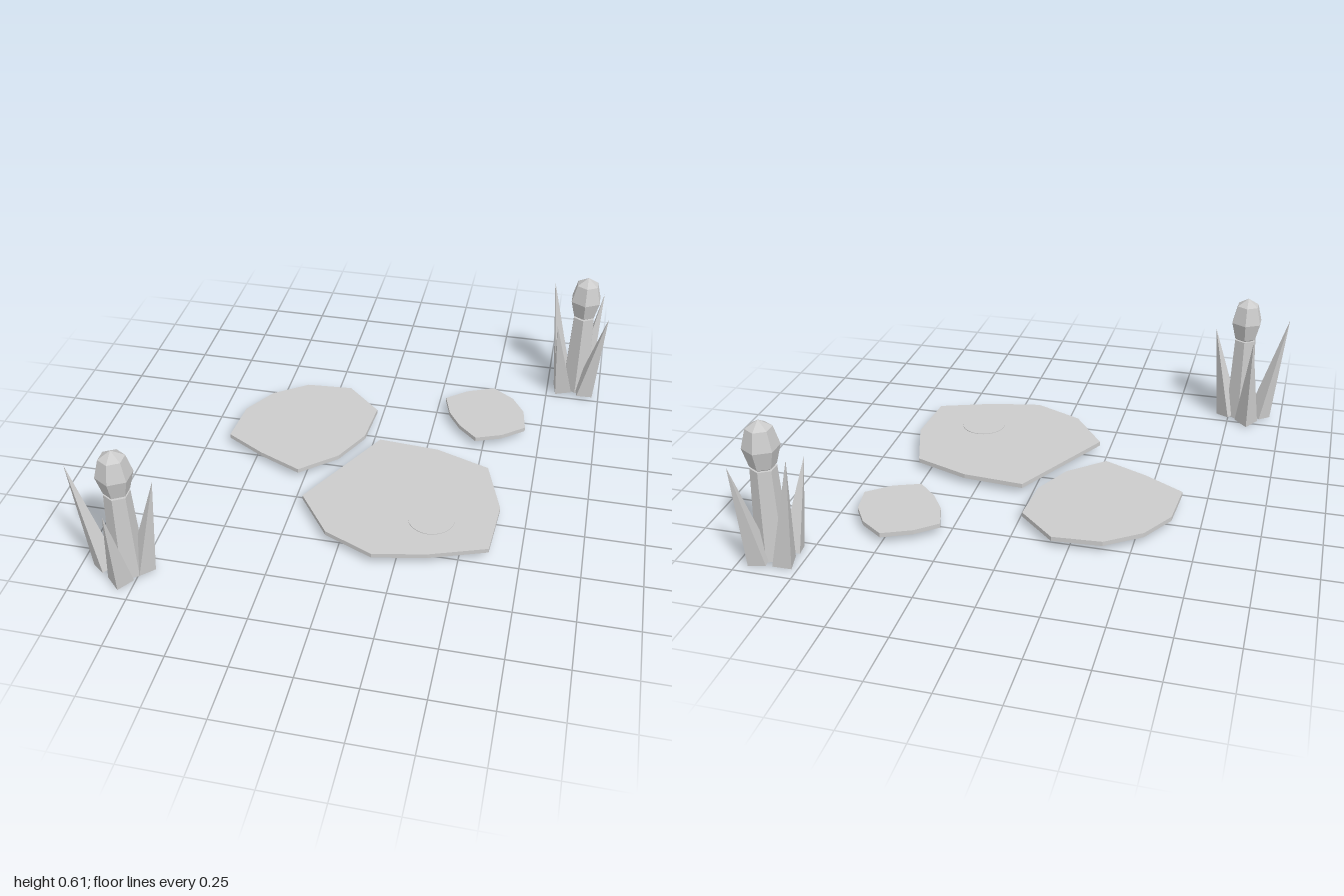
import * as THREE from 'three';

const stone = new THREE.MeshStandardMaterial({ color: 0xcccccc, flatShading: true });
stone.name = 'light grey';

function mesh(name, geometry, y = 0) {
  const m = new THREE.Mesh(geometry, stone);
  m.name = name;
  m.position.y = y;
  return m;
}

// Flat slab from an outline of [x, z] points
function slab(name, outline) {
  const shape = new THREE.Shape(outline.map(([x, z]) => new THREE.Vector2(x, -z)));
  const g = new THREE.ExtrudeGeometry(shape, { depth: 0.02, bevelEnabled: false });
  g.rotateX(-Math.PI / 2);
  return mesh(name, g, 0.03);
}

// Four-sided spike leaning from its base centre to its tip
function blade([bx, bz, tx, ty, tz]) {
  const base = new THREE.Vector3(bx, 0.01, bz);
  const axis = new THREE.Vector3(tx, ty, tz).sub(base);
  const h = axis.length();
  const g = new THREE.ConeGeometry(0.054, h, 4);
  g.translate(0, h / 2, 0).rotateY(Math.atan2(axis.x, axis.z));
  const m = mesh('leafBlade', g);
  m.quaternion.setFromUnitVectors(new THREE.Vector3(0, 1, 0), axis.normalize());
  m.position.copy(base);
  return m;
}

// Stem with a faceted bud, ringed by leaf blades
function plant(name, x, z, blades) {
  const p = new THREE.Group();
  p.name = name;
  p.position.set(x, 0, z);
  p.add(mesh('stem', new THREE.CylinderGeometry(0.053, 0.07, 0.4, 6), 0.205));
  const bud = new THREE.SphereGeometry(0.075, 6, 4);
  bud.rotateY(Math.PI / 2).scale(1, 0.115 / 0.075, 1);
  p.add(mesh('bud', bud, 0.495));
  blades.forEach((b) => p.add(blade(b)));
  return p;
}

export function createModel() {
  const model = new THREE.Group();
  model.name = 'steppingStonesAndPlants';

  // Stepping stones
  model.add(slab('largeStone', [
    [0.04, -0.165], [0.31, -0.145], [0.55, -0.06], [0.635, 0.2], [0.62, 0.465],
    [0.38, 0.55], [0.155, 0.595], [-0.06, 0.5], [-0.21, 0.295],
  ]));
  model.add(slab('mediumStone', [
    [-0.39, -0.525], [-0.18, -0.54], [-0.02, -0.39], [-0.035, -0.18], [-0.12, -0.01],
    [-0.275, 0.125], [-0.47, 0.04], [-0.645, -0.06], [-0.63, -0.27], [-0.54, -0.42],
  ]));
  model.add(slab('smallStone', [
    [0.5, -0.685], [0.6, -0.615], [0.66, -0.52], [0.68, -0.395], [0.58, -0.315],
    [0.465, -0.27], [0.38, -0.35], [0.32, -0.44], [0.285, -0.555], [0.375, -0.63],
  ]));

  // Thin round patch on the large stone
  const patch = mesh('stonePatch', new THREE.CylinderGeometry(0.1, 0.1, 0.006, 24), 0.05);
  patch.position.x = 0.36;
  patch.position.z = 0.33;
  model.add(patch);

  // Plants: each blade is base x, base z, tip x, tip y, tip z
  model.add(plant('frontPlant', -0.8, 0.835, [
    [-0.095, 0, -0.2, 0.515, 0.01],
    [0.055, -0.015, 0.14, 0.46, -0.025],
    [-0.04, -0.078, -0.05, 0.46, -0.17],
    [-0.005, 0.07, 0, 0.405, 0.15],
  ]));
  model.add(plant('backPlant', 0.885, -0.862, [
    [-0.068, -0.05, -0.155, 0.515, -0.108],
    [0.04, 0.055, 0.115, 0.46, 0.102],
    [0.03, -0.062, 0.085, 0.46, -0.128],
    [-0.062, 0.045, -0.115, 0.405, 0.122],
  ]));

  return model;
}
